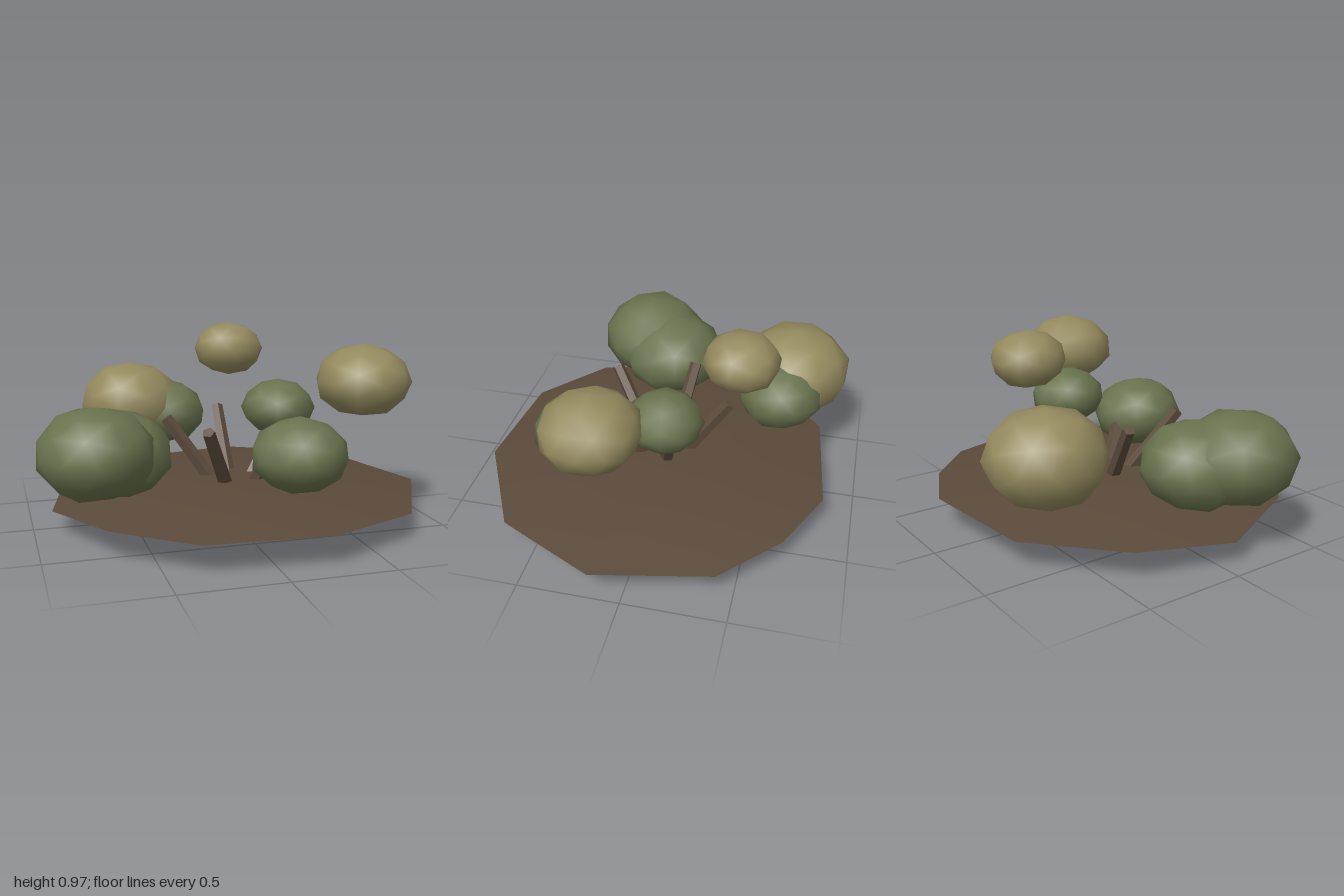
import * as THREE from 'three';
import { mergeVertices, toCreasedNormals } from 'three/addons/utils/BufferGeometryUtils.js';

const material = (name, color) => {
  const m = new THREE.MeshStandardMaterial({ color });
  m.name = name;
  return m;
};

// Small seeded generator for the uneven foliage
function seeded(seed) {
  return () => {
    seed = (seed * 16807) % 2147483647;
    return seed / 2147483647;
  };
}

// Flat lens of soil: apex, inner ring, rim, lower ring, lower apex
function soilGeometry() {
  const rim = [
    [1.0, 0.15, 0.15], [0.74, 0.13, 0.65], [0.25, 0.15, 0.9], [-0.35, 0.145, 0.85],
    [-0.7, 0.145, 0.56], [-0.91, 0.11, 0.07], [-0.79, 0.15, -0.42], [-0.38, 0.145, -0.78],
    [0.25, 0.155, -0.85], [0.59, 0.15, -0.69], [0.87, 0.14, -0.42],
  ];
  const n = rim.length;
  const ring = (s, y) => rim.map(([x, , z]) => [x * s, y, z * s]);
  const rings = [ring(0.001, 0.217), ring(0.3, 0.214), ring(0.66, 0.195), rim,
    ring(0.66, 0.07), ring(0.3, 0.052), ring(0.001, 0.049)];
  const index = [];
  for (let r = 0; r < rings.length - 1; r++) {
    for (let i = 0; i < n; i++) {
      const a = r * n + i, b = r * n + (i + 1) % n;
      index.push(a, b, a + n, b, b + n, a + n);
    }
  }
  const geo = new THREE.BufferGeometry();
  geo.setAttribute('position', new THREE.Float32BufferAttribute(rings.flat(2), 3));
  geo.setIndex(index);
  return toCreasedNormals(geo, 0.6);
}

// Squashed, slightly uneven ball with smooth normals
function foliageGeometry(r, ry, seed) {
  const random = seeded(seed * 7919 + 13);
  let geo = new THREE.IcosahedronGeometry(1, 1);
  geo.deleteAttribute('normal');
  geo.deleteAttribute('uv');
  geo = mergeVertices(geo, 1e-3);
  geo.rotateY(seed * 0.9);
  const p = geo.attributes.position;
  for (let i = 0; i < p.count; i++) {
    const k = 0.98 + random() * 0.06;
    p.setXYZ(i, p.getX(i) * r * k, p.getY(i) * ry * k, p.getZ(i) * r * k);
  }
  geo.computeVertexNormals();
  return geo;
}

export function createModel() {
  const soil = material('soil', 0x5b4a3a);
  const bark = material('bark', 0x5e4d3d);
  const green = material('greenLeaves', 0x69734e);
  const olive = material('oliveLeaves', 0x948a5e);

  const group = new THREE.Group();
  group.name = 'shrub';
  const add = (name, geo, mat) => {
    const mesh = new THREE.Mesh(geo, mat);
    mesh.name = name;
    group.add(mesh);
    return mesh;
  };

  add('soilMound', soilGeometry(), soil);

  // Branches fan out from one root point
  const root = new THREE.Vector3(0.04, 0.02, 0.01);
  const tips = [[-0.3, 0.515, -0.085], [-0.18, 0.515, 0.32], [0.04, 0.52, -0.33],
    [0.25, 0.515, 0.28], [0.34, 0.515, -0.09]];
  tips.forEach((t, i) => {
    const dir = new THREE.Vector3(...t).sub(root);
    const geo = new THREE.CylinderGeometry(0.032, 0.04, dir.length(), 5).toNonIndexed();
    geo.computeVertexNormals();
    const branch = add(`branch${i + 1}`, geo, bark);
    branch.position.copy(root).addScaledVector(dir, 0.5);
    branch.quaternion.setFromUnitVectors(new THREE.Vector3(0, 1, 0), dir.normalize());
  });

  // Foliage clumps: x, y, z, radius, half height, material
  const clumps = [
    [-0.71, 0.43, 0.25, 0.29, 0.225, green],
    [-0.59, 0.39, 0.1, 0.28, 0.215, green],
    [-0.39, 0.51, -0.61, 0.285, 0.23, olive],
    [-0.2, 0.46, -0.56, 0.22, 0.175, green],
    [0.125, 0.83, -0.39, 0.186, 0.143, olive],
    [0.3, 0.55, -0.05, 0.19, 0.145, green],
    [0.67, 0.715, 0.205, 0.24, 0.185, olive],
    [0.26, 0.39, 0.395, 0.24, 0.187, green],
  ];
  clumps.forEach(([x, y, z, r, ry, mat], i) => {
    add(`foliage${i + 1}`, foliageGeometry(r, ry, i + 1), mat).position.set(x, y, z);
  });

  return group;
}
